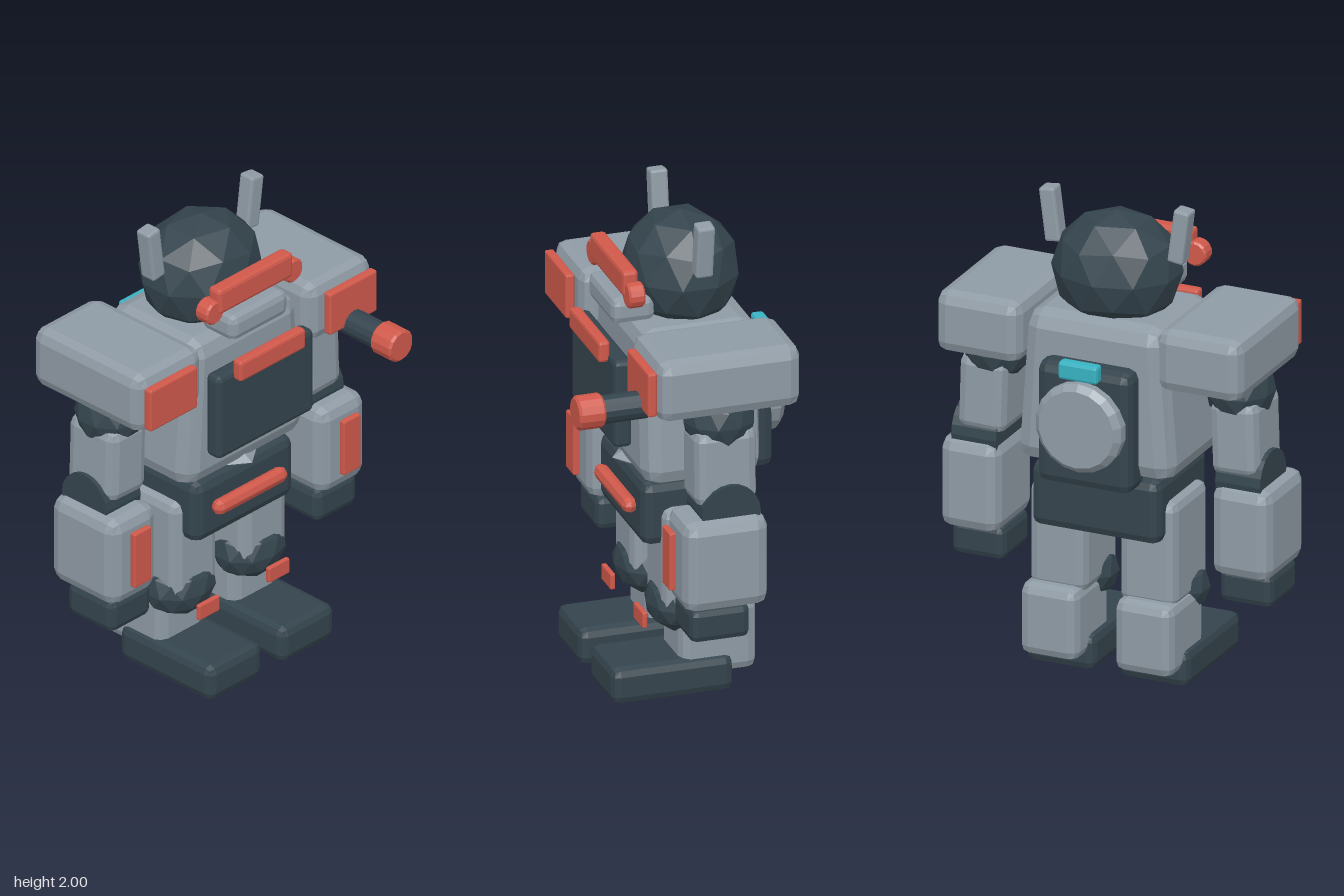
import * as THREE from 'three';
import { RoundedBoxGeometry } from 'three/addons/geometries/RoundedBoxGeometry.js';

const material = (name, color) => {
  const m = new THREE.MeshStandardMaterial({ color });
  m.name = name;
  return m;
};

// Faceted normals: one per face
function faceted(geometry) {
  const g = geometry.index ? geometry.toNonIndexed() : geometry;
  g.computeVertexNormals();
  return g;
}

export function createModel() {
  const grey = material('light grey armour', 0x8f9ba5);
  const dark = material('dark slate', 0x34444d);
  const red = material('signal red', 0xd0594b);
  const cyan = material('cyan light', 0x38b3c3);
  const robot = new THREE.Group();
  robot.name = 'robot';

  function add(parent, name, geometry, mat, x, y, z) {
    const mesh = new THREE.Mesh(faceted(geometry), mat);
    mesh.name = name;
    mesh.position.set(x, y, z);
    parent.add(mesh);
    return mesh;
  }
  // Bevelled box given by its extents on each axis
  function box(parent, name, mat, [x0, x1], [y0, y1], [z0, z1], bevel) {
    const g = new RoundedBoxGeometry(Math.abs(x1 - x0), y1 - y0, z1 - z0, 1, bevel);
    return add(parent, name, g, mat, (x0 + x1) / 2, (y0 + y1) / 2, (z0 + z1) / 2);
  }
  // Low-poly ball standing on one of its vertices
  function ball(parent, name, mat, [x, y, z], [rx, ry, rz]) {
    const g = new THREE.IcosahedronGeometry(1, 1);
    g.rotateZ(-Math.atan(2 / (1 + Math.sqrt(5))));
    return add(parent, name, g.scale(rx, ry, rz), mat, x, y, z);
  }
  // Bevelled cylinder along z
  function drum(parent, name, mat, r, [z0, z1], x, y, sides, bevel) {
    const h = (z1 - z0) / 2;
    const profile = [[0, -h], [r - bevel, -h], [r, bevel - h], [r, h - bevel], [r - bevel, h], [0, h]];
    const g = new THREE.LatheGeometry(profile.map(p => new THREE.Vector2(...p)), sides);
    return add(parent, name, g.rotateX(Math.PI / 2), mat, x, y, (z0 + z1) / 2);
  }

  // Torso, slightly narrower at the shoulders
  const torso = box(robot, 'torso', grey, [-0.345, 0.345], [0.905, 1.555], [-0.35, 0.145], 0.07);
  const p = torso.geometry.attributes.position;
  for (let i = 0; i < p.count; i++) p.setX(i, p.getX(i) * (0.93 - p.getY(i) * 0.22));
  torso.geometry.computeVertexNormals();
  box(robot, 'chestPlate', dark, [-0.27, 0.27], [1.07, 1.445], [0.175, 0.25], 0.02);
  box(robot, 'chestBar', red, [-0.185, 0.185], [1.41, 1.5], [0.24, 0.288], 0.012);

  // Waist and pelvis
  add(robot, 'waistPoint', new THREE.OctahedronGeometry(1).scale(0.085, 0.035, 0.06), grey, 0, 0.912, 0.11);
  box(robot, 'pelvis', dark, [-0.28, 0.28], [0.63, 0.905], [-0.33, 0.135], 0.04);
  box(robot, 'beltBar', red, [-0.2, 0.2], [0.745, 0.81], [0.125, 0.187], 0.03);

  // Head
  ball(robot, 'head', dark, [0, 1.7, -0.112], [0.268, 0.245, 0.236]);
  box(robot, 'chinGuard', grey, [-0.16, 0.16], [1.55, 1.66], [0.04, 0.22], 0.03);
  box(robot, 'visor', red, [-0.21, 0.21], [1.69, 1.8], [0.13, 0.195], 0.015);

  // Backpack
  box(robot, 'backpack', dark, [-0.205, 0.205], [0.87, 1.385], [-0.437, -0.27], 0.04);
  drum(robot, 'backpackDisc', grey, 0.188, [-0.495, -0.4], 0, 1.145, 18, 0.025);
  box(robot, 'backpackLight', cyan, [-0.085, 0.085], [1.345, 1.42], [-0.485, -0.432], 0.012);

  for (const s of [1, -1]) {
    const sx = (a, b) => [a * s, b * s];

    // Head fittings
    drum(robot, 'visorPod', red, 0.052, [0.12, 0.187], 0.223 * s, 1.705, 14, 0.008);
    const antenna = add(robot, 'antenna', new RoundedBoxGeometry(0.068, 0.226, 0.072, 1, 0.01),
      grey, 0.28 * s, 1.885, -0.115);
    antenna.rotation.z = -0.13 * s;

    // Arm
    const arm = new THREE.Group();
    arm.name = s > 0 ? 'leftArm' : 'rightArm';
    robot.add(arm);
    box(arm, 'shoulderArmour', grey, sx(0.297, 0.666), [1.325, 1.587], [-0.4, 0.195], 0.05);
    box(arm, 'shoulderPlate', red, sx(0.375, 0.642), [1.36, 1.547], [0.198, 0.236], 0.008);
    ball(arm, 'shoulderJoint', dark, [0.53 * s, 1.27, -0.095], [0.14, 0.14, 0.147]);
    box(arm, 'upperArm', grey, sx(0.447, 0.652), [0.935, 1.255], [-0.22, 0.035], 0.04).rotation.z = 0.03 * s;
    add(arm, 'elbow', new THREE.CylinderGeometry(0.122, 0.122, 0.195, 20).rotateZ(Math.PI / 2),
      dark, 0.575 * s, 0.912, -0.1);
    box(arm, 'forearm', grey, sx(0.462, 0.72), [0.515, 0.9], [-0.247, 0.105], 0.05);
    box(arm, 'forearmPlate', red, sx(0.545, 0.64), [0.6, 0.847], [0.12, 0.147], 0.006);
    box(arm, 'hand', dark, sx(0.468, 0.698), [0.38, 0.525], [-0.172, 0.075], 0.03);

    // Leg
    const leg = new THREE.Group();
    leg.name = s > 0 ? 'leftLeg' : 'rightLeg';
    robot.add(leg);
    box(leg, 'thigh', grey, sx(0.072, 0.32), [0.34, 0.795], [-0.262, 0.06], 0.04);
    ball(leg, 'knee', dark, [0.198 * s, 0.36, -0.038], [0.162, 0.125, 0.135]);
    box(leg, 'kneePlate', red, sx(0.14, 0.256), [0.275, 0.343], [0.108, 0.13], 0.006);
    box(leg, 'shin', grey, sx(0.08, 0.332), [0.07, 0.375], [-0.325, -0.005], 0.04);
    box(leg, 'foot', dark, sx(0.053, 0.355), [0, 0.155], [-0.22, 0.285], 0.035);
  }

  // Shoulder cannon on the left
  drum(robot, 'cannonBarrel', dark, 0.057, [0.2, 0.4], 0.51, 1.363, 14, 0.005);
  drum(robot, 'cannonMuzzle', red, 0.07, [0.385, 0.497], 0.51, 1.363, 14, 0.01);

  return robot;
}
